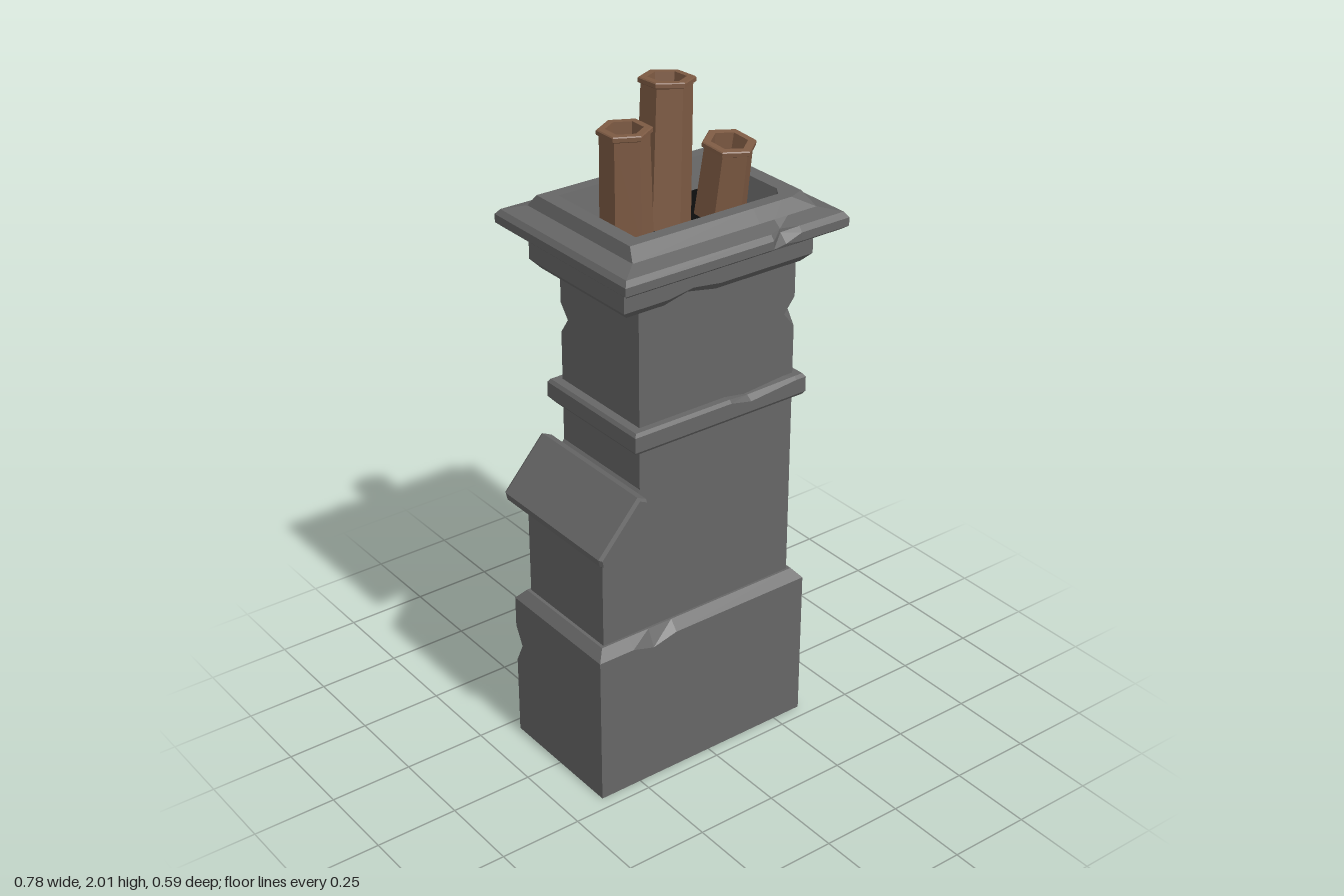
import * as THREE from 'three';

const stone = new THREE.MeshStandardMaterial({ color: 0x666666 });
stone.name = 'grey stone';
const clay = new THREE.MeshStandardMaterial({ color: 0x7d5a43 });
clay.name = 'brown clay';
const soot = new THREE.MeshStandardMaterial({ color: 0x0c0c0c });
soot.name = 'black soot';

// Rectangular section. cut: [cx, cz, m] per corner (0 front +x, 1 back +x, 2 back -x, 3 front -x);
// dent: [depth, rise] of the middle point on the front edge.
const sec = (y, x0, x1, z, cut = {}, dent = [0, 0]) => ({ y, x0, x1, z, cut, dent });

function ring({ y, x0, x1, z, cut, dent }, [a, b, c]) {
  const corner = (i) => {
    const [cx, cz, m = 0.5] = cut[i] || [0, 0];
    const sx = i < 2 ? 1 : -1, sz = i === 0 || i === 3 ? 1 : -1;
    const X = i < 2 ? x1 : x0, Z = sz * z;
    const pts = [[X - sx * cx, y, Z], [X - sx * cx * m, y, Z - sz * cz * m], [X, y, Z - sz * cz]];
    return i % 2 ? pts.reverse() : pts;
  };
  return [
    [a, y, z], [b, y + dent[1], z - dent[0]], [c, y, z],
    ...corner(0), ...corner(1), ...corner(2), ...corner(3),
  ];
}

// Skin a stack of sections with hard facets, closing the requested ends
function loft(sections, { front = [-0.1, 0, 0.1], top = true } = {}) {
  const rings = sections.map((s) => ring(s, front));
  const n = rings[0].length, pos = [];
  const tri = (...p) => p.forEach((v) => pos.push(...v));
  for (let k = 0; k < rings.length - 1; k++) {
    for (let i = 0; i < n; i++) {
      const j = (i + 1) % n, A = rings[k], B = rings[k + 1];
      tri(A[i], A[j], B[j]);
      tri(A[i], B[j], B[i]);
    }
  }
  const mid = (s) => [(s.x0 + s.x1) / 2, s.y, 0];
  const last = rings.length - 1;
  for (let i = 0; i < n; i++) {
    const j = (i + 1) % n;
    tri(mid(sections[0]), rings[0][j], rings[0][i]);
    if (top) tri(mid(sections[last]), rings[last][i], rings[last][j]);
  }
  const g = new THREE.BufferGeometry();
  g.setAttribute('position', new THREE.Float32BufferAttribute(pos, 3));
  g.computeVertexNormals();
  return g;
}

// Tapered six-sided pot with a lip and a shallow hollow, leaning from base to top
function chimneyPot(base, top, r, turn) {
  const from = new THREE.Vector3(...base), dir = new THREE.Vector3(...top).sub(from);
  const h = dir.length();
  const profile = [
    [r * 0.97, 0], [r * 0.9, h - 0.018], [r, h - 0.014], [r, h - 0.003], [r * 0.96, h],
    [r * 0.68, h], [r * 0.58, h - 0.08], [0, h - 0.08],
  ].map(([x, y]) => new THREE.Vector2(x, y));
  const g = new THREE.LatheGeometry(profile, 6).toNonIndexed();
  g.computeVertexNormals();
  g.rotateY(turn);
  const mesh = new THREE.Mesh(g, clay);
  mesh.quaternion.setFromUnitVectors(new THREE.Vector3(0, 1, 0), dir.normalize());
  mesh.position.copy(from);
  return mesh;
}

export function createModel() {
  const group = new THREE.Group();
  const add = (name, geometry, material = stone) => {
    const mesh = new THREE.Mesh(geometry, material);
    mesh.name = name;
    group.add(mesh);
  };

  // Plinth with bevelled top and a chipped back corner
  add('plinth', loft([
    sec(0, -0.385, 0.345, 0.21),
    sec(0.25, -0.385, 0.345, 0.21),
    sec(0.31, -0.385, 0.345, 0.21, { 2: [0.03, 0.03] }),
    sec(0.37, -0.385, 0.345, 0.21),
    sec(0.465, -0.385, 0.345, 0.21, {}, [0, -0.02]),
    sec(0.495, -0.36, 0.32, 0.185),
  ], { front: [-0.27, -0.2, -0.12] }));

  // Shaft, stepping in on one side, with chipped corners
  add('shaft', loft([
    sec(0.48, -0.35, 0.308, 0.178),
    sec(0.675, -0.35, 0.308, 0.178),
    sec(0.72, -0.35, 0.308, 0.178, { 1: [0.035, 0.04] }),
    sec(0.765, -0.35, 0.308, 0.178),
    sec(0.8, -0.35, 0.308, 0.178),
    sec(0.95, -0.222, 0.308, 0.178),
    sec(1.285, -0.222, 0.308, 0.178),
    sec(1.33, -0.222, 0.308, 0.178, { 0: [0.036, 0.03], 2: [0.035, 0.035] }),
    sec(1.375, -0.222, 0.308, 0.178),
    sec(1.52, -0.222, 0.308, 0.178),
  ]));

  // Middle band, worn along the front top edge
  add('band', loft([
    sec(1.075, -0.248, 0.328, 0.198, { 2: [0.03, 0.03] }),
    sec(1.085, -0.255, 0.335, 0.205),
    sec(1.13, -0.255, 0.335, 0.205, {}, [0, -0.015]),
    sec(1.14, -0.248, 0.328, 0.198, {}, [0.012, -0.012]),
  ], { front: [0.07, 0.14, 0.3] }));

  // Collar under the cap, chipped below
  add('collar', loft([
    sec(1.485, -0.272, 0.312, 0.192, {}, [0.005, 0.015]),
    sec(1.51, -0.295, 0.335, 0.215, {}, [0, 0.012]),
    sec(1.59, -0.295, 0.335, 0.215),
  ], { front: [-0.15, -0.07, 0.02] }));

  // Cap: outer moulding, raised rim and hollow; one back corner broken off
  const broken = { 1: [0.055, 0.042, 0.8] };
  add('cap', loft([
    sec(1.575, -0.305, 0.345, 0.245),
    sec(1.592, -0.335, 0.375, 0.28, { 1: [0.04, 0.03, 0.8] }),
    sec(1.603, -0.348, 0.39, 0.295, broken, [0.01, 0]),
    sec(1.627, -0.348, 0.39, 0.295, broken, [0.035, 0]),
    sec(1.642, -0.337, 0.38, 0.283, { 1: [0.045, 0.032, 0.8] }, [0.025, -0.005]),
    sec(1.655, -0.282, 0.325, 0.235),
    sec(1.69, -0.27, 0.31, 0.208, { 0: [0.05, 0.02] }),
    sec(1.69, -0.225, 0.265, 0.171, { 0: [0.02, 0.03] }),
    sec(1.6, -0.202, 0.248, 0.151),
  ], { front: [0.13, 0.18, 0.225], top: false }));

  // Dark floor of the flue
  const floor = new THREE.PlaneGeometry(0.452, 0.304);
  floor.rotateX(-Math.PI / 2).translate(0.023, 1.602, 0);
  add('flueFloor', floor, soot);

  // Sloping coping slab over the step
  const outline = [
    [-0.388, 0.812], [-0.384, 0.795], [-0.36, 0.786], [-0.235, 0.932], [-0.239, 0.943], [-0.262, 0.954],
  ].map(([x, y]) => new THREE.Vector2(x, y));
  const slab = new THREE.ExtrudeGeometry(new THREE.Shape(outline), {
    depth: 0.446, bevelThickness: 0.01, bevelSize: 0.006, bevelSegments: 1,
  });
  slab.translate(0, 0, -0.223);
  add('copingSlab', slab);

  // Three leaning clay pots
  [
    [[-0.128, 1.6, 0], [-0.132, 1.91, 0], 0.074, 0],
    [[0.012, 1.6, -0.025], [0.038, 2, -0.043], 0.077, 0],
    [[0.176, 1.6, 0.012], [0.18, 1.815, 0.043], 0.076, 0.14],
  ].forEach((p, i) => {
    const pot = chimneyPot(...p);
    pot.name = `chimneyPot${i + 1}`;
    group.add(pot);
  });

  return group;
}
